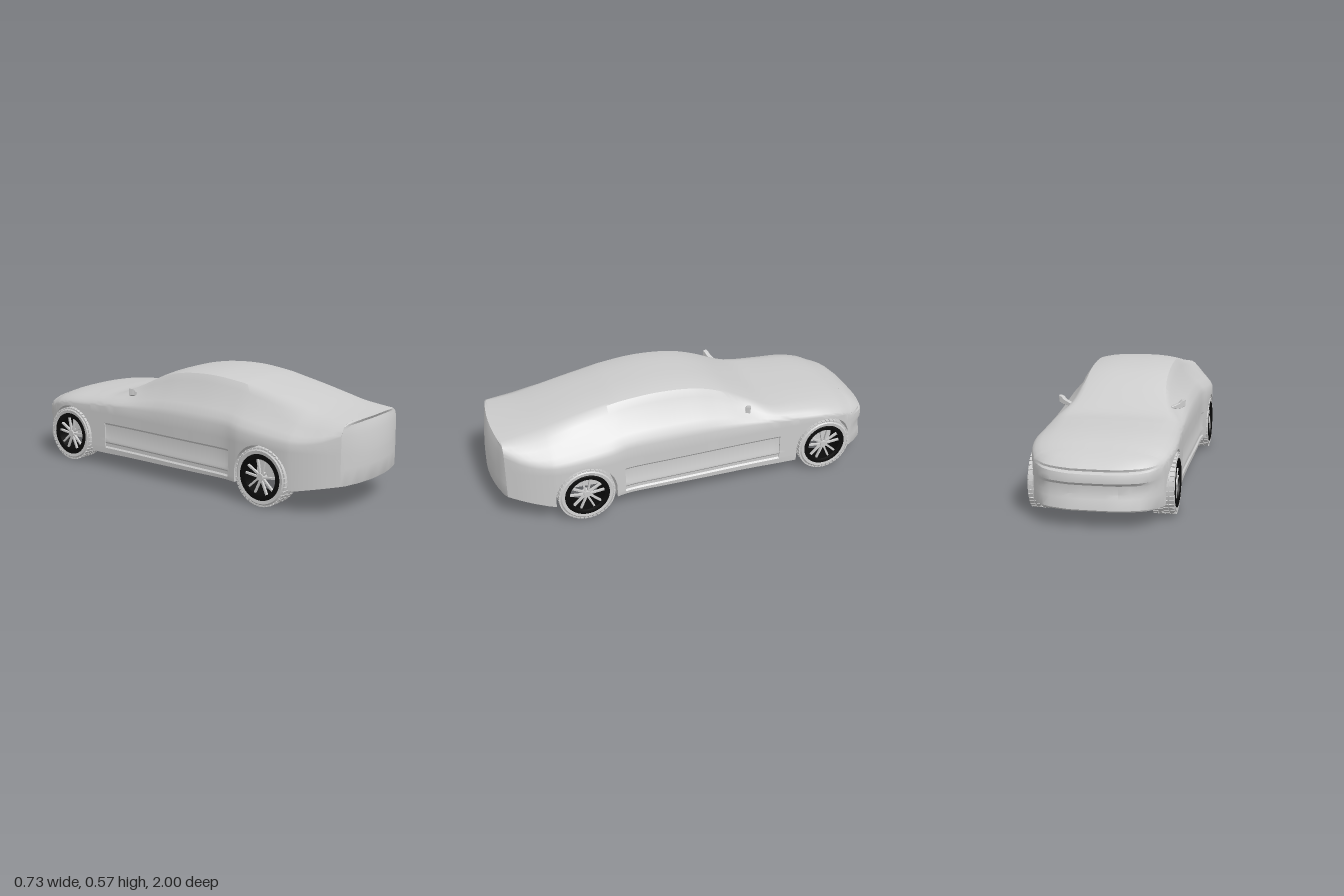
import * as THREE from 'three';
import { mergeGeometries, toCreasedNormals } from 'three/addons/utils/BufferGeometryUtils.js';

const grey = new THREE.MeshStandardMaterial({ color: 0xcccccc, side: THREE.DoubleSide });
const black = new THREE.MeshStandardMaterial({ color: 0x0a0a0a });

const WHEEL_R = 0.143, ARCH_R = 0.154, FLOOR_Y = 0.09;
const AXLES = [{ name: 'front', z: -0.7, x: 0.283 }, { name: 'rear', z: 0.58, x: 0.308 }];

// Body stations: z, top y, roof edge x, roof edge y, half width, shoulder y, bottom y, cabin share
const STATIONS = [
  [-0.87, 0.332, 0.22, 0.315, 0.295, 0.265, 0.082, 0],
  [-0.80, 0.357, 0.235, 0.341, 0.32, 0.295, 0.08, 0],
  [-0.70, 0.375, 0.242, 0.362, 0.332, 0.312, 0.075, 0],
  [-0.55, 0.387, 0.25, 0.374, 0.328, 0.32, 0.075, 0],
  [-0.42, 0.396, 0.256, 0.386, 0.325, 0.33, 0.075, 0.2],
  [-0.30, 0.447, 0.222, 0.434, 0.325, 0.34, 0.078, 0.9],
  [-0.15, 0.52, 0.205, 0.504, 0.327, 0.345, 0.08, 1],
  [-0.02, 0.557, 0.203, 0.541, 0.33, 0.35, 0.082, 1],
  [0.17, 0.572, 0.203, 0.555, 0.333, 0.35, 0.085, 1],
  [0.35, 0.558, 0.20, 0.541, 0.337, 0.35, 0.088, 1],
  [0.45, 0.54, 0.20, 0.523, 0.356, 0.34, 0.09, 1],
  [0.58, 0.513, 0.20, 0.497, 0.363, 0.332, 0.093, 0.9],
  [0.72, 0.48, 0.20, 0.466, 0.357, 0.325, 0.10, 0.6],
  [0.80, 0.461, 0.20, 0.448, 0.333, 0.328, 0.115, 0.4],
  [0.88, 0.446, 0.203, 0.437, 0.296, 0.345, 0.13, 0.2],
  [0.95, 0.437, 0.21, 0.428, 0.25, 0.375, 0.142, 0],
];
// Curve from roof edge to shoulder, as fractions of width and height
const HOOD_SIDE = [[0.5, 0.22], [0.78, 0.48], [0.93, 0.72], [0.985, 0.88], [1, 1]];
const CABIN_SIDE = [[0.19, 0.17], [0.33, 0.38], [0.74, 0.68], [0.92, 0.85], [1, 1]];
// Lower side: height and recess depth between the wheels
const DOOR_SIDE = [[0.29, 0], [0.24, 0], [0.23, 0.007], [0.16, 0.007], [0.146, 0.001], [0.136, 0.001], [0.128, 0.007], [0.112, 0.007], [0.104, 0]];

// Smooth interpolation between stations
function station(z) {
  const S = STATIONS, n = S.length - 1;
  let i = 0;
  while (i < n - 1 && z > S[i + 1][0]) i++;
  const a = S[i], b = S[i + 1], p = S[Math.max(i - 1, 0)], q = S[Math.min(i + 2, n)];
  const h = b[0] - a[0], t = (z - a[0]) / h, t2 = t * t, t3 = t2 * t;
  return a.map((v, k) => {
    const m0 = (b[k] - p[k]) / (b[0] - p[0]) * h, m1 = (q[k] - v) / (q[0] - a[0]) * h;
    return (2 * t3 - 3 * t2 + 1) * v + (t3 - 2 * t2 + t) * m0 + (3 * t2 - 2 * t3) * b[k] + (t3 - t2) * m1;
  });
}

// Surface through rows of [x, y, z] points
function surface(rows, crease) {
  const pos = [], P = [0, 1, 2].map(() => new THREE.Vector3()), tri = new THREE.Triangle();
  const add = (...c) => {
    c.forEach((v, k) => P[k].set(...v));
    if (tri.set(...P).getArea() > 1e-9) pos.push(...c.flat());
  };
  for (let i = 0; i < rows.length - 1; i++) {
    for (let j = 0; j < rows[i].length - 1; j++) {
      const a = rows[i][j], b = rows[i + 1][j], c = rows[i][j + 1], d = rows[i + 1][j + 1];
      add(a, b, c);
      add(c, b, d);
    }
  }
  const g = new THREE.BufferGeometry();
  g.setAttribute('position', new THREE.Float32BufferAttribute(pos, 3));
  return toCreasedNormals(g, crease);
}

// Closed cross-section with door recess, sill strakes and wheel wells
function ring(z) {
  const [, T, rx, ry, W, sy, B, share] = station(z);
  const half = [0, 0.25, 0.5, 0.75, 0.92, 1].map(u => [u * rx, ry + (T - ry) * (1 - u ** 3)]);
  const cabin = THREE.MathUtils.clamp(share, 0, 1);
  HOOD_SIDE.forEach(([hx, hy], k) => {
    const fx = THREE.MathUtils.lerp(hx, CABIN_SIDE[k][0], cabin);
    const fy = THREE.MathUtils.lerp(hy, CABIN_SIDE[k][1], cabin);
    half.push([rx + (W - rx) * fx, ry + (sy - ry) * fy]);
  });
  let low = B;
  for (const w of AXLES) {
    const d = Math.abs(z - w.z);
    if (d <= ARCH_R) low = WHEEL_R + Math.sqrt(Math.max(0, ARCH_R ** 2 - d * d));
  }
  const recess = z > -0.45 && z < 0.38 ? 1 : 0;
  for (const [y, inset] of DOOR_SIDE)
    half.push([W - (y > low ? inset * recess : 0), Math.max(Math.min(y, sy), low)]);
  const floor = Math.max(B, FLOOR_Y);
  half.push([W - 0.002, low], [0.215, Math.max(low, floor)], [0.215, floor], [0, floor]);
  const mirrored = half.slice(0, -1).reverse().map(([x, y]) => [-x, y]);
  return [...half, ...mirrored].map(([x, y]) => [x, y, z]);
}

function bodyShell() {
  const zs = [-0.45, -0.4499, 0.38, 0.3799];
  for (let k = 0; k <= 52; k++) zs.push(-0.87 + 1.82 * k / 52);
  for (const w of AXLES) {
    for (let k = 0; k <= 20; k++) zs.push(w.z - ARCH_R * 0.9999 * Math.cos(Math.PI * k / 20));
    zs.push(w.z - ARCH_R - 0.0003, w.z + ARCH_R + 0.0003);
  }
  return surface(zs.sort((a, b) => a - b).map(ring), 0.6);
}

// Rounded end of the body; rows: edge x, edge y, centre y, depth
function endCap(z0, length, plan, rows) {
  const s = Math.sign(length);
  const cols = [...plan.map(([u, d]) => [-u, d]), ...plan.slice(0, -1).reverse()];
  return surface(rows.map(([ex, ey, cy, depth]) => cols.map(([u, d]) =>
    [s * u * ex, ey + (cy - ey) * (1 - Math.abs(u) ** 3), z0 + length * depth * d])), 0.5);
}

const NOSE_PLAN = [[1, 0], [0.97, 0.12], [0.9, 0.36], [0.8, 0.63], [0.68, 0.79], [0.53, 0.89], [0.37, 0.98], [0.18, 0.995], [0, 1]];
const NOSE = [
  [0.22, 0.315, 0.332, 0], [0.24, 0.309, 0.319, 0.25], [0.258, 0.304, 0.304, 0.46], [0.279, 0.291, 0.282, 0.7],
  [0.29, 0.279, 0.266, 0.83], [0.294, 0.271, 0.255, 0.8], [0.295, 0.264, 0.246, 0.93], [0.295, 0.24, 0.228, 0.98],
  [0.295, 0.215, 0.208, 0.98], [0.295, 0.2, 0.195, 0.88], [0.295, 0.165, 0.155, 0.86], [0.295, 0.14, 0.135, 0.93],
  [0.295, 0.09, 0.088, 1], [0.293, 0.082, 0.082, 0.97], [0.293, 0.082, 0.082, 0]];
const TAIL_PLAN = [[1, 0], [0.93, 0.22], [0.8, 0.42], [0.64, 0.64], [0.48, 0.8], [0.24, 0.95], [0, 1]];
const TAIL = [
  [0.21, 0.428, 0.437, 0], [0.218, 0.423, 0.435, 0.5], [0.23, 0.416, 0.42, 0.3], [0.241, 0.403, 0.406, 0.42],
  [0.25, 0.375, 0.37, 0.7], [0.25, 0.3, 0.285, 0.9], [0.25, 0.285, 0.277, 0.92], [0.25, 0.22, 0.22, 1],
  [0.25, 0.146, 0.146, 1], [0.248, 0.142, 0.142, 0.96], [0.248, 0.142, 0.142, 0]];

// Wheel with its axis on x and its outer face on +x
function makeWheel(name) {
  const wheel = new THREE.Group();
  wheel.name = name;
  const lathe = pts => toCreasedNormals(
    new THREE.LatheGeometry(pts.map(p => new THREE.Vector2(...p)), 48).rotateZ(-Math.PI / 2), 0.6);
  const add = (part, g, m) => {
    const mesh = new THREE.Mesh(g, m);
    mesh.name = part;
    wheel.add(mesh);
  };
  add('tire', lathe([[0.11, -0.05], [0.128, -0.053], [0.138, -0.045], [0.139, 0], [0.138, 0.045], [0.128, 0.053], [0.11, 0.05], [0.11, -0.05]]), grey);
  add('rim', lathe([[0.088, -0.05], [0.111, -0.05], [0.112, 0.053], [0.106, 0.055], [0.088, 0.05], [0.088, -0.05]]), black);

  const blocks = [], spokes = [];
  for (let i = 0; i < 40; i++) {
    for (const x of [-0.039, -0.013, 0.013, 0.039])
      blocks.push(new THREE.BoxGeometry(0.022, 0.008, 0.018)
        .translate(x, 0.1385, 0).rotateX((i + (x > 0 ? 0.5 : 0)) * Math.PI / 20));
  }
  // Paired spokes that spread toward the rim
  for (let i = 0; i < 5; i++) {
    for (const s of [-1, 1])
      spokes.push(new THREE.BoxGeometry(0.012, 0.086, 0.009).rotateX(s * 0.2)
        .translate(0.038, 0.052, s * 0.014).rotateX(i * Math.PI * 0.4));
  }
  spokes.push(new THREE.CylinderGeometry(0.017, 0.022, 0.03, 20).rotateZ(-Math.PI / 2).translate(0.034, 0, 0));
  add('treadBlocks', mergeGeometries(blocks), grey);
  add('spokes', mergeGeometries(spokes), grey);
  return wheel;
}

// Side mirror housing on a short stalk
function makeMirror(side) {
  const shape = new THREE.Shape([[0.25, 0.4], [0.29, 0.402], [0.314, 0.412], [0.315, 0.442], [0.302, 0.438], [0.287, 0.424], [0.25, 0.41]]
    .map(([x, y]) => new THREE.Vector2((x - 0.288) * 1.05, y)));
  const g = new THREE.ExtrudeGeometry(shape, { depth: 0.016, bevelEnabled: true, bevelSize: 0.002, bevelThickness: 0.004, bevelSegments: 2 });
  g.translate(0, 0, -0.008).rotateY(-0.45);
  const mesh = new THREE.Mesh(g, grey);
  mesh.name = side > 0 ? 'leftMirror' : 'rightMirror';
  mesh.position.set(side * 0.286, 0, -0.282);
  mesh.scale.x = side;
  return mesh;
}

export function createModel() {
  const car = new THREE.Group();
  car.name = 'car';
  const parts = {
    bodyShell: bodyShell(),
    noseFascia: endCap(-0.87, -0.13, NOSE_PLAN, NOSE),
    tailPanel: endCap(0.95, 0.05, TAIL_PLAN, TAIL),
  };
  for (const [name, g] of Object.entries(parts)) {
    const mesh = new THREE.Mesh(g, grey);
    mesh.name = name;
    car.add(mesh);
  }
  for (const side of [1, -1]) {
    car.add(makeMirror(side));
    for (const a of AXLES) {
      const wheel = makeWheel(a.name + (side > 0 ? 'LeftWheel' : 'RightWheel'));
      wheel.position.set(side * a.x, WHEEL_R, a.z);
      if (side < 0) wheel.rotation.y = Math.PI;
      car.add(wheel);
    }
  }
  return car;
}
